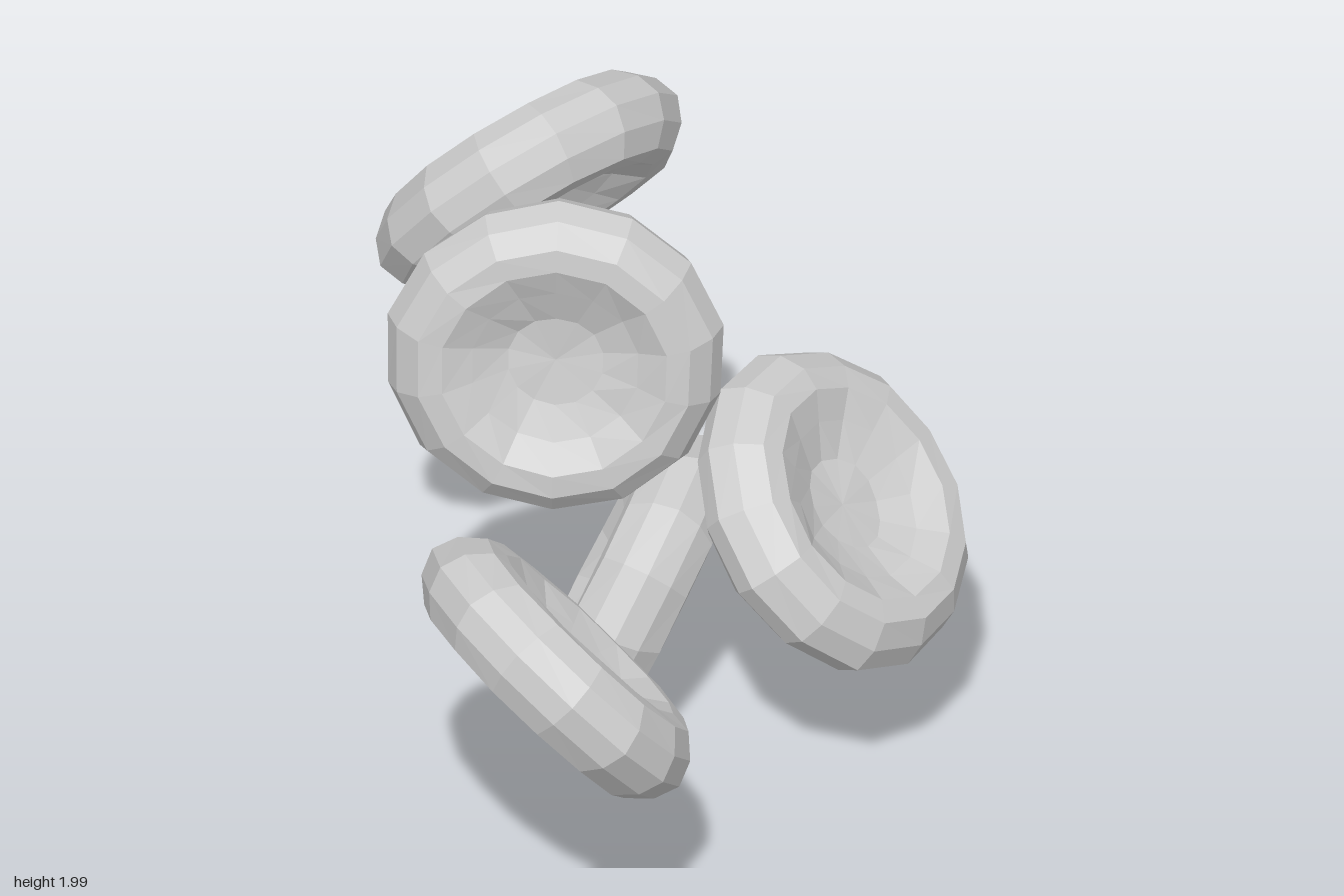
import * as THREE from 'three';

// Half of the biconcave profile, from the dished centre to the rim: [radius, height]
const PROFILE = [[0, 0.035], [0.12, 0.045], [0.21, 0.08], [0.285, 0.118], [0.345, 0.115], [0.4, 0.065]];

// Position and facing direction of each disc
const DISCS = [
  { name: 'upperRightDisc', at: [-0.415, 1.575, 0.135], facing: [-0.77, 0.11, 0.63] },
  { name: 'upperBackDisc', at: [0.03, 1.655, -0.35], facing: [0.12, 0.62, -0.77] },
  { name: 'middleRightDisc', at: [-0.535, 0.745, 0.245], facing: [0.68, 0.65, 0.31] },
  { name: 'middleLeftDisc', at: [0.46, 0.74, 0.275], facing: [0.2, 0.64, 0.74] },
  { name: 'lowerDisc', at: [0.245, 0.405, -0.2], facing: [0.44, -0.4, 0.8] },
];

// Low-poly dished disc with a slightly uneven surface
function discGeometry() {
  const lower = PROFILE.map(([r, h]) => new THREE.Vector2(r, -h));
  const upper = PROFILE.map(([r, h]) => new THREE.Vector2(r, h)).reverse();
  const rim = new THREE.Vector2(0.425, 0);
  const geometry = new THREE.LatheGeometry([...lower, rim, ...upper], 14);
  const p = geometry.attributes.position;
  for (let i = 0; i < p.count; i++) {
    const x = p.getX(i), y = p.getY(i), z = p.getZ(i);
    const r = Math.hypot(x, z);
    // Unevenness is strongest in the dish and fades out at the rim
    const dish = Math.min(r / 0.12, 1) * Math.max(0, 1 - r / 0.4);
    const bump = 0.016 * dish * Math.sin(17 * x + 5) * Math.cos(19 * z + 2);
    const scale = 1 + 0.012 * Math.sin(9 * x + 4 * y) * Math.cos(8 * z);
    p.setXYZ(i, x * scale, y + Math.sign(y) * bump, z * scale);
  }
  geometry.computeVertexNormals();
  return geometry;
}

export function createModel() {
  const model = new THREE.Group();
  model.name = 'floatingDiscs';
  const material = new THREE.MeshStandardMaterial({ color: 0xcccccc, flatShading: true });
  const geometry = discGeometry();
  const up = new THREE.Vector3(0, 1, 0);

  // Tilted discs drifting in a loose cluster
  for (const { name, at, facing } of DISCS) {
    const disc = new THREE.Mesh(geometry, material);
    disc.name = name;
    disc.position.set(...at);
    disc.quaternion.setFromUnitVectors(up, new THREE.Vector3(...facing).normalize());
    model.add(disc);
  }
  return model;
}
